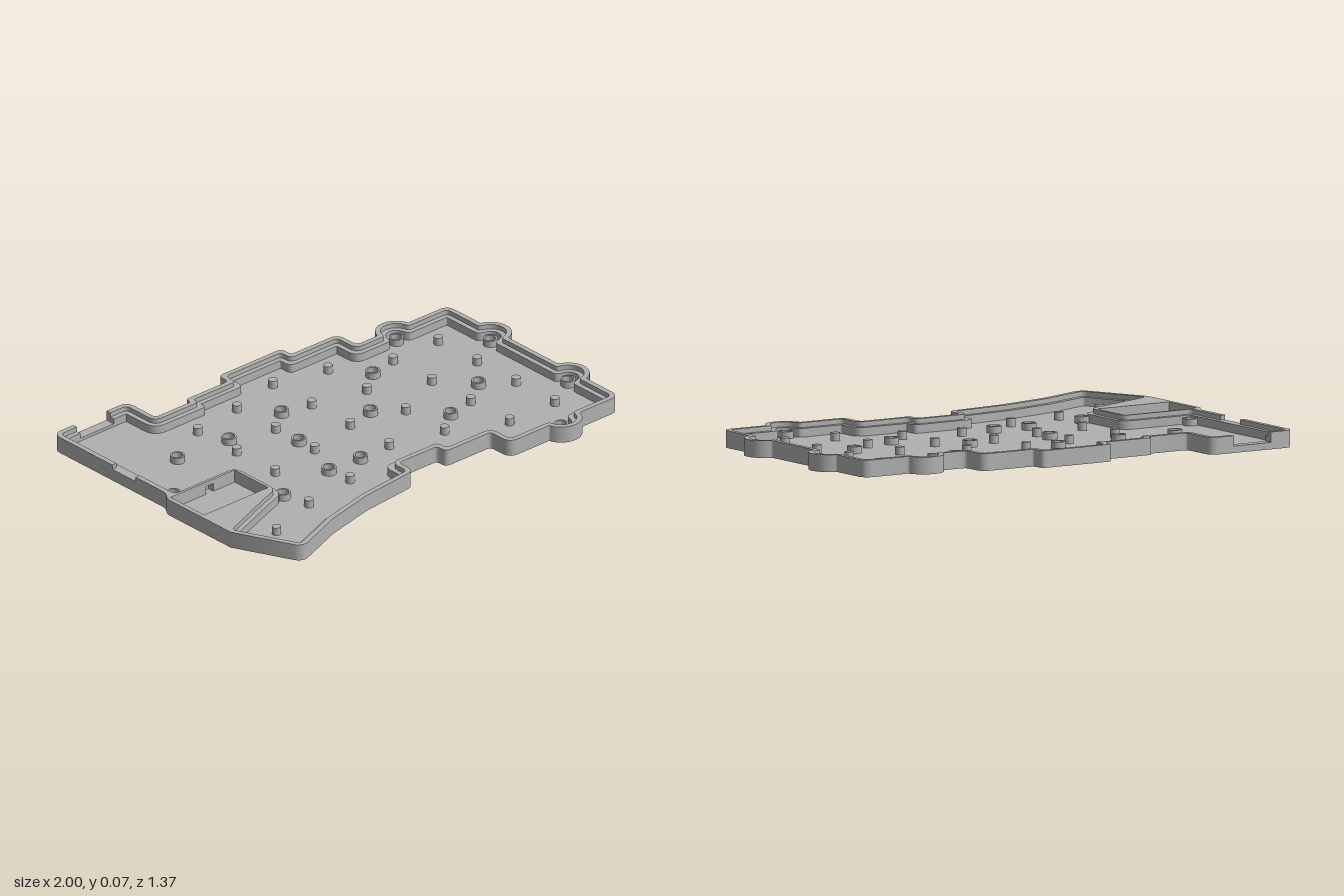
import * as THREE from 'three';
import { toCreasedNormals } from 'three/addons/utils/BufferGeometryUtils.js';

const FLOOR = 0.015, LEDGE = 0.05, TOP = 0.07;
const V = (x, z) => new THREE.Vector2(x, z);

// Round lug on the outline, facing the given angle
function lug(cx, cz, angle) {
  const pts = [];
  for (let i = 0; i <= 18; i++) {
    const a = angle + 1.333 * (i / 9 - 1);
    pts.push([cx + 0.085 * Math.cos(a), cz + 0.085 * Math.sin(a)]);
  }
  return pts;
}

// Outline from the right end of the port gap, round to the thumb area tip
const HEAD = [
  [-0.68, -0.695], [-0.57, -0.695], [-0.57, -0.525], [-0.38, -0.525], [-0.38, -0.555],
  [-0.15, -0.555], [-0.15, -0.615], [0.19, -0.615], [0.19, -0.555], [0.44, -0.555], [0.44, -0.44],
  ...lug(0.635, -0.42, -Math.PI / 2), [0.93, -0.44],
  ...lug(0.91, -0.16, 0), ...lug(0.91, 0.305, 0), [0.93, 0.585],
  ...lug(0.635, 0.565, Math.PI / 2), [0.34, 0.585], [0.34, 0.47], [0.1, 0.47], [0.1, 0.415],
  [-0.105, 0.415], [-0.105, 0.505], [-0.39, 0.535], [-0.62, 0.59], [-0.865, 0.685],
];
// Left wall up to the left end of the port gap
const TAIL = [[-0.97, -0.2], [-0.97, -0.34], [-0.97, -0.695], [-0.86, -0.695]];
const OUTER = [...HEAD, [-1, 0.4], [-1, 0.02], [-0.97, -0.02], ...TAIL];
// The cavity goes round the battery block
const CAVITY = [...HEAD, [-1.012, 0.375], [-0.72, 0.26], [-0.643, 0.235], [-0.643, 0.03], [-0.97, 0.03], ...TAIL];

// Inset a loop by d, then round its sharp corners
function contour(loop, d) {
  const n = loop.length, src = loop.map(([x, z]) => V(x, z));
  const dirs = src.map((p, i) => src[(i + 1) % n].clone().sub(p).normalize());
  const pts = src.map((p, i) => {
    const a = dirs[(i + n - 1) % n], b = dirs[i], k = d / (1 + a.dot(b));
    return V(p.x - (a.y + b.y) * k, p.y + (a.x + b.x) * k);
  });
  const out = [];
  pts.forEach((p, i) => {
    const turn = dirs[(i + n - 1) % n].cross(dirs[i]);
    if (Math.abs(turn) < 0.5) return out.push(p);
    const prev = pts[(i + n - 1) % n], next = pts[(i + 1) % n];
    const r = Math.min(turn > 0 ? Math.max(0.045 - d, 0.006) : 0.02 + d,
      0.45 * p.distanceTo(prev), 0.45 * p.distanceTo(next));
    const s = prev.clone().sub(p).setLength(r).add(p), e = next.clone().sub(p).setLength(r).add(p);
    out.push(...new THREE.QuadraticBezierCurve(s, p, e).getPoints(7));
  });
  return out;
}

function circle(x, z, r) {
  return new THREE.Path().absarc(x, z, r, 0, Math.PI * 2, false).getPoints(24).slice(0, -1);
}

// Plate of a plan shape between two heights
function plate(points, holes, y0, y1) {
  const shape = new THREE.Shape(points);
  shape.holes = holes.map((h) => new THREE.Path(h));
  const g = new THREE.ExtrudeGeometry(shape, { depth: y1 - y0, bevelEnabled: false });
  g.rotateX(Math.PI / 2).translate(0, y1, 0);
  return toCreasedNormals(g, 0.5);
}

const SCREWS = [
  [-0.685, -0.265], [-0.425, -0.245], [-0.115, -0.275], [0.378, -0.275], [0.635, -0.42], [0.908, -0.16],
  [-0.225, -0.05], [0.155, -0.043], [-0.905, -0.045], [0.635, 0.072], [0.908, 0.305], [0.378, 0.19],
  [0.635, 0.565], [-0.302, 0.215], [-0.14, 0.225], [-0.58, 0.25],
];
// Peg columns: x, first z, count
const PEG_COLUMNS = [
  [-0.47, -0.383, 3], [-0.225, -0.42, 3], [0.02, -0.477, 4], [0.267, -0.42, 4],
  [0.512, -0.303, 4], [0.757, -0.303, 4], [-0.55, 0.37, 1], [-0.29, 0.328, 1], [-0.802, 0.455, 1],
];

export function createModel() {
  const group = new THREE.Group();
  const grey = new THREE.MeshStandardMaterial({ color: 0xb0b0b0 });
  grey.name = 'case grey';
  const add = (name, geometry) => {
    const mesh = new THREE.Mesh(geometry, grey);
    mesh.name = name;
    group.add(mesh);
    return mesh;
  };

  const outer = contour(OUTER, 0);
  const ledge = contour(CAVITY, 0.043);
  const lip = contour(CAVITY, 0.022);

  // Floor with screw holes
  add('floor', plate(outer, SCREWS.map(([x, z]) => circle(x, z, 0.022)), 0, FLOOR));

  // Lower wall, open at the port, with the battery pocket and its wire slot
  const pocket = [V(-0.98, 0.02), V(-0.79, 0.02), V(-0.79, -0.008), V(-0.75, -0.008),
    V(-0.75, 0.02), V(-0.635, 0.02), V(-0.635, 0.22), V(-0.98, 0.22)];
  add('wall', plate([...outer, ...[...ledge].reverse()], [pocket], FLOOR, LEDGE));

  // Thinner upper rim in two pieces, with a notch in the left wall
  const at = (pts, z) => pts.findIndex((p) => p.x < -0.9 && Math.abs(p.y - z) < 0.001);
  const rimA = [...outer.slice(0, at(outer, -0.2) + 1), ...lip.slice(0, at(lip, -0.2) + 1).reverse()];
  const rimB = [...outer.slice(at(outer, -0.34)), ...lip.slice(at(lip, -0.34)).reverse()];
  const rimPocket = [V(-0.98, 0.02), V(-0.635, 0.02), V(-0.635, 0.22), V(-0.98, 0.22)];
  add('rim', plate(rimA, [rimPocket], LEDGE, TOP));
  add('rimCorner', plate(rimB, [], LEDGE, TOP));

  // Sill under the port gap
  add('portSill', new THREE.BoxGeometry(0.18, 0.013, 0.043)).position.set(-0.77, FLOOR + 0.0065, -0.6735);

  // Hollow screw standoffs
  for (const [x, z] of SCREWS) {
    add('standoff', plate(circle(x, z, 0.03), [circle(x, z, 0.022)], FLOOR, 0.043));
  }

  // Support pegs
  const peg = new THREE.CylinderGeometry(0.019, 0.019, 0.033, 20);
  for (const [x, z, count] of PEG_COLUMNS) {
    for (let i = 0; i < count; i++) add('peg', peg).position.set(x, FLOOR + 0.0165, z + i * 0.232);
  }
  return group;
}
